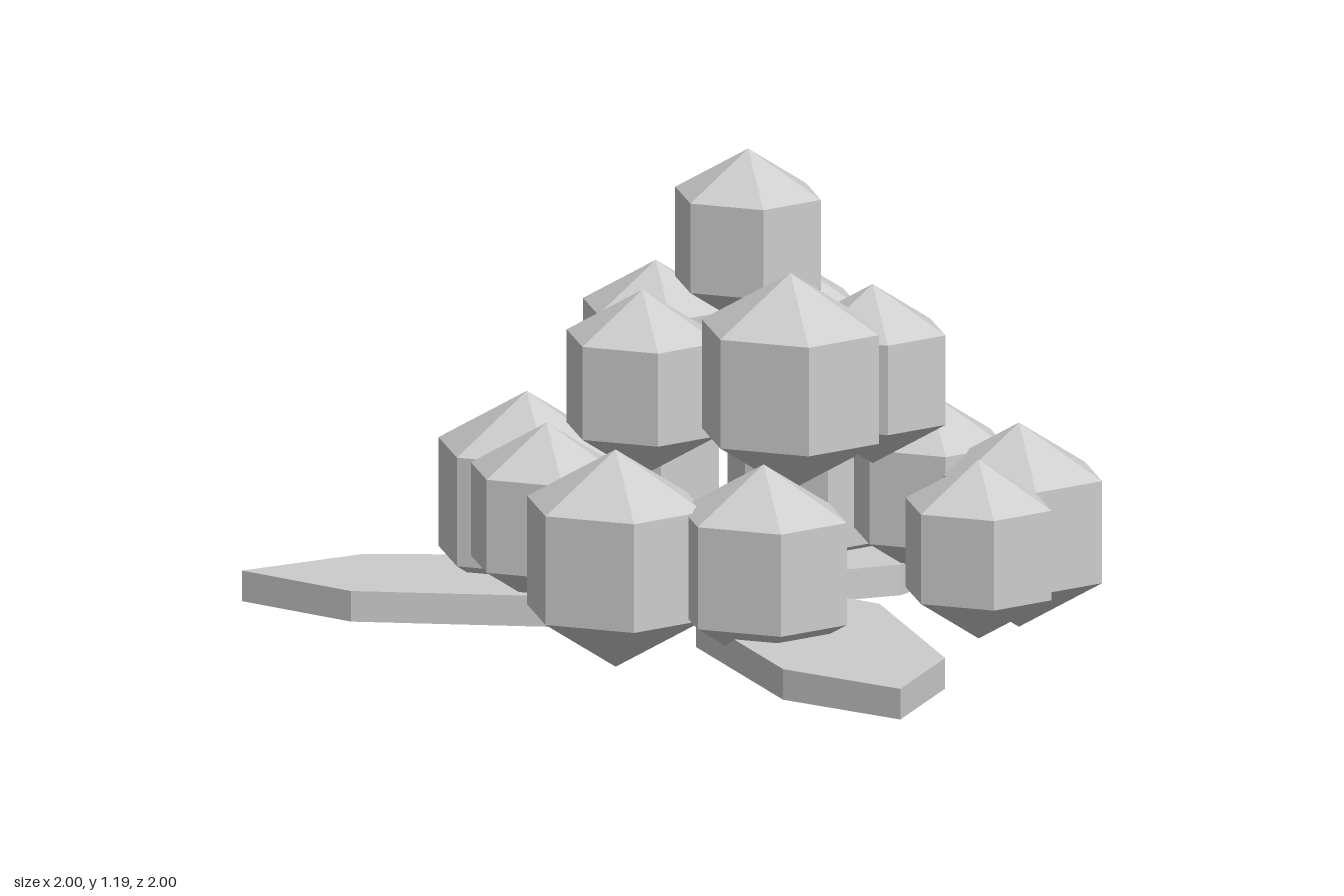
import * as THREE from 'three';

const SMALL = 0.206, MEDIUM = 0.235, LARGE = 0.25;

// Berries: x, y, z of the centre and radius
const BERRIES = [
  // bottom layer
  [-0.41, 0.297, -0.645, LARGE],
  [-0.64, 0.293, -0.03, LARGE],
  [-0.43, 0.295, 0.272, MEDIUM],
  [0.083, 0.297, 0.457, SMALL],
  [0.41, 0.267, 0.21, MEDIUM],
  [0.36, 0.32, -0.065, 0.216],
  [0.285, 0.283, -0.422, MEDIUM],
  [0.05, 0.323, -0.757, SMALL],
  [-0.55, 0.32, -0.4, 0.214],
  // middle layer
  [-0.245, 0.7, 0.147, LARGE],
  [0.12, 0.644, 0.012, SMALL],
  [0.107, 0.635, -0.338, 0.242],
  [-0.2, 0.675, -0.415, SMALL],
  [-0.385, 0.65, -0.24, 0.214],
  // top
  [-0.132, 0.984, -0.15, SMALL],
];

// Leaves share one inner point and reach out to these tips (x, z)
const LEAF_BASE = new THREE.Vector2(-0.13, -0.172);
const LEAF_TIPS = [[-1, -1], [1, -0.52], [-0.6, 0.995]];

function leafGeometry(tip) {
  const axis = tip.clone().sub(LEAF_BASE);
  const side = new THREE.Vector2(-axis.y, axis.x).normalize();
  const at = (along, across) =>
    LEAF_BASE.clone().addScaledVector(axis, along).addScaledVector(side, across);
  const outline = [at(0, 0), at(0.285, -0.23), at(0.77, -0.203), at(1, 0), at(0.77, 0.203), at(0.285, 0.23)];
  return new THREE.ExtrudeGeometry(new THREE.Shape(outline), { depth: 0.075, bevelEnabled: false })
    .rotateX(Math.PI / 2);
}

export function createModel() {
  const model = new THREE.Group();
  model.name = 'berryCluster';
  const grey = new THREE.MeshStandardMaterial({ color: 0xcccccc, flatShading: true });
  grey.name = 'lightGrey';

  // Faceted six-sided berries
  const berryGeometry = new THREE.SphereGeometry(1, 6, 3);
  BERRIES.forEach(([x, y, z, r], i) => {
    const berry = new THREE.Mesh(berryGeometry, grey);
    berry.name = `berry${i + 1}`;
    berry.position.set(x, y, z);
    berry.scale.set(r, r * 1.065, r * 1.075);
    model.add(berry);
  });

  // Three flat leaves below the berries
  LEAF_TIPS.forEach(([x, z], i) => {
    const leaf = new THREE.Mesh(leafGeometry(new THREE.Vector2(x, z)), grey);
    leaf.name = `leaf${i + 1}`;
    leaf.position.y = 0.145;
    model.add(leaf);
  });

  return model;
}
